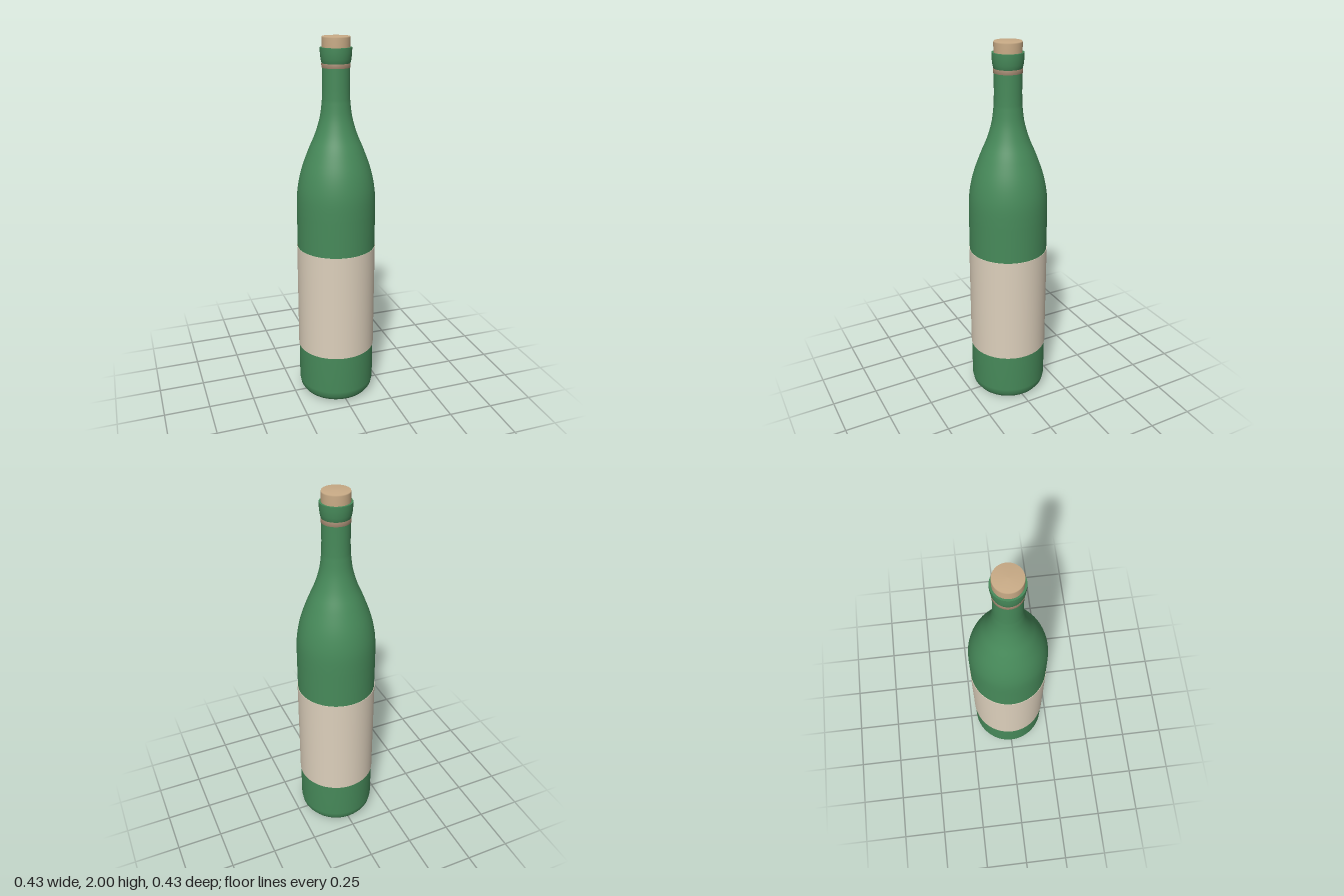
import * as THREE from 'three';

const SEGMENTS = 64;

function turned(name, profile, color) {
  const points = profile.map(([r, y]) => new THREE.Vector2(r, y));
  const mesh = new THREE.Mesh(
    new THREE.LatheGeometry(points, SEGMENTS),
    new THREE.MeshStandardMaterial({ color, side: THREE.DoubleSide })
  );
  mesh.name = name;
  return mesh;
}

export function createModel() {
  const bottle = new THREE.Group();
  bottle.name = 'bottle';
  const glass = 0x478a5a, paper = 0xddd0bc, corkColor = 0xc9ab86, bandColor = 0xa58a72;

  // Shoulder: smooth S-curve from the body up into the neck
  const shoulder = new THREE.SplineCurve([
    [0.211, 1.08], [0.207, 1.2], [0.186, 1.31], [0.147, 1.42],
    [0.109, 1.51], [0.083, 1.6], [0.072, 1.69],
  ].map(([r, y]) => new THREE.Vector2(r, y)));

  // Glass body with a rounded foot, shoulder and neck
  bottle.add(turned('glassBody', [
    [0, 0.005], [0.165, 0], [0.188, 0.012], [0.204, 0.035], [0.211, 0.07], [0.211, 0.3], [0.211, 0.9],
    ...shoulder.getPoints(24).map((p) => [p.x, p.y]),
    [0.071, 1.75], [0.071, 1.87],
  ], glass));

  // Paper label wrapped right round the body
  bottle.add(turned('label', [[0.2135, 0.29], [0.2135, 0.89]], paper));
  for (const [name, y] of [['labelLowerEdge', 0.29], ['labelUpperEdge', 0.89]]) {
    bottle.add(turned(name, [[0.2135, y], [0.21, y]], paper));
  }

  // Thin band below the lip
  bottle.add(turned('neckBand', [[0.07, 1.845], [0.074, 1.846], [0.074, 1.867], [0.07, 1.868]], bandColor));

  // Flared lip
  bottle.add(turned('lip', [
    [0.07, 1.866], [0.073, 1.868], [0.078, 1.89], [0.081, 1.92], [0.081, 1.945],
  ], glass));
  bottle.add(turned('lipRim', [[0.081, 1.945], [0.07, 1.945]], glass));

  // Cork stopper with a softly shaded top
  bottle.add(turned('cork', [[0.071, 1.93], [0.072, 1.992], [0.07, 1.998], [0, 2]], corkColor));
  return bottle;
}
